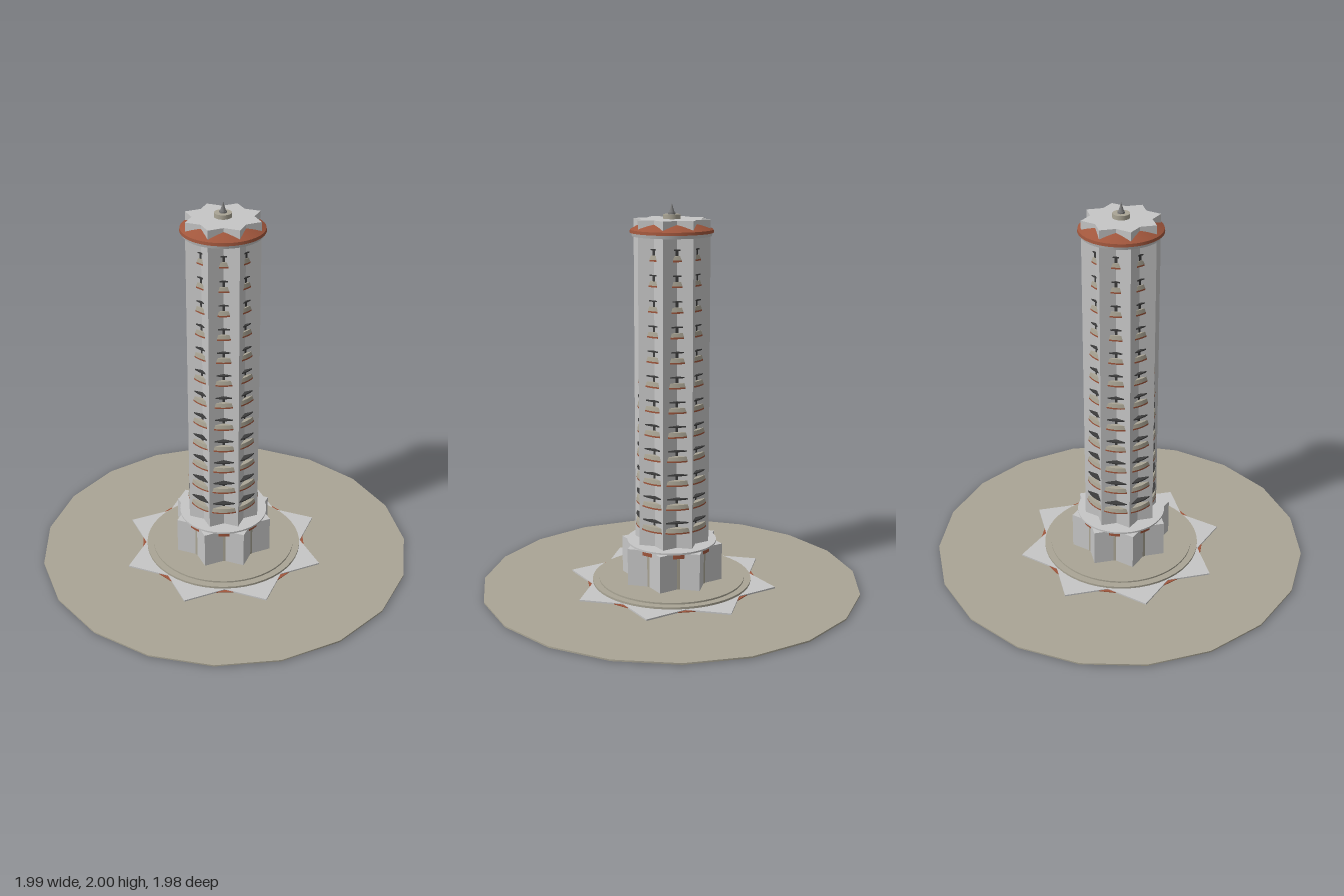
import * as THREE from 'three';

const material = (name, color) => {
  const m = new THREE.MeshStandardMaterial({ color });
  m.name = name;
  return m;
};

export function createModel() {
  const concrete = material('light concrete', 0xc6c6c6);
  const stone = material('tan stone', 0xaaa595);
  const terracotta = material('terracotta', 0xa0563c);
  const dark = material('dark glass', 0x3c3c3c);
  const metal = material('grey metal', 0x7c7c7c);

  const tower = new THREE.Group();
  tower.name = 'tower';

  const add = (parent, name, geometry, mat, y = 0) => {
    const mesh = new THREE.Mesh(geometry, mat);
    mesh.name = name;
    mesh.position.y = y;
    parent.add(mesh);
    return mesh;
  };

  // Round slab or truncated cone between two heights
  const disc = (parent, name, mat, y0, y1, rBottom, rTop = rBottom, sides = 48) =>
    add(parent, name, new THREE.CylinderGeometry(rTop, rBottom, y1 - y0, sides), mat, (y0 + y1) / 2);

  // Eight-pointed star prism: two overlaid squares
  const star = (name, mat, y0, y1, radius) => {
    const notch = radius * Math.cos(Math.PI / 4) / Math.cos(Math.PI / 8);
    const points = [];
    for (let i = 0; i < 16; i++) {
      const r = i % 2 ? notch : radius;
      const a = i * Math.PI / 8;
      points.push(new THREE.Vector2(r * Math.cos(a), r * Math.sin(a)));
    }
    const geometry = new THREE.ExtrudeGeometry(new THREE.Shape(points), { depth: y1 - y0, bevelEnabled: false });
    geometry.rotateX(-Math.PI / 2);
    return add(tower, name, geometry, mat, y0);
  };

  // Plaza with star paving and round steps
  const plaza = disc(tower, 'plaza', stone, 0.004, 0.012, 0.998, 0.998, 19);
  plaza.rotation.y = -0.014;
  plaza.position.x = 0.008;
  plaza.position.z = -0.006;
  disc(tower, 'pavingBorder', terracotta, 0.006, 0.016, 0.48, 0.48, 8);
  star('starPaving', concrete, 0, 0.02, 0.555);
  disc(tower, 'lowerStep', stone, 0.02, 0.031, 0.42);
  disc(tower, 'upperStep', stone, 0.031, 0.04, 0.385);

  // Star podium with a round core showing in its notches
  star('podium', concrete, 0.04, 0.237, 0.27);
  disc(tower, 'podiumCore', stone, 0.04, 0.21, 0.21);
  disc(tower, 'podiumBand', terracotta, 0.21, 0.235, 0.221);
  disc(tower, 'podiumTop', concrete, 0.236, 0.246, 0.235);

  // Star shaft
  star('shaft', concrete, 0.246, 1.842, 0.197);

  // Twelve floors of balconies set in the notches, shrinking upward
  for (let i = 0; i < 12; i++) {
    const floor = new THREE.Group();
    floor.name = 'balconyFloor' + (i + 1);
    floor.position.y = 0.331 + i * 0.1267;
    const r = 0.188 - i * 0.0024;
    disc(floor, 'balconySlab', terracotta, 0, 0.008, r);
    disc(floor, 'balconyParapet', stone, 0.008, 0.029, r, r - 0.004);
    disc(floor, 'window', dark, 0.029, 0.055, 0.154);
    disc(floor, 'lintel', dark, 0.055, 0.061, r - 0.003);
    tower.add(floor);
  }

  // Cornice, sloping roof and star crown
  disc(tower, 'cornice', concrete, 1.84, 1.857, 0.2, 0.205);
  disc(tower, 'roofEdge', terracotta, 1.857, 1.872, 0.211, 0.209);
  disc(tower, 'roofSlope', terracotta, 1.872, 1.91, 0.209, 0.14);
  star('crown', concrete, 1.86, 1.924, 0.197);

  // Finial
  disc(tower, 'finialBase', stone, 1.924, 1.946, 0.043, 0.043, 24);
  disc(tower, 'finialCollar', metal, 1.946, 1.955, 0.018, 0.018, 16);
  add(tower, 'spire', new THREE.ConeGeometry(0.014, 0.045, 16), metal, 1.9775);

  return tower;
}
